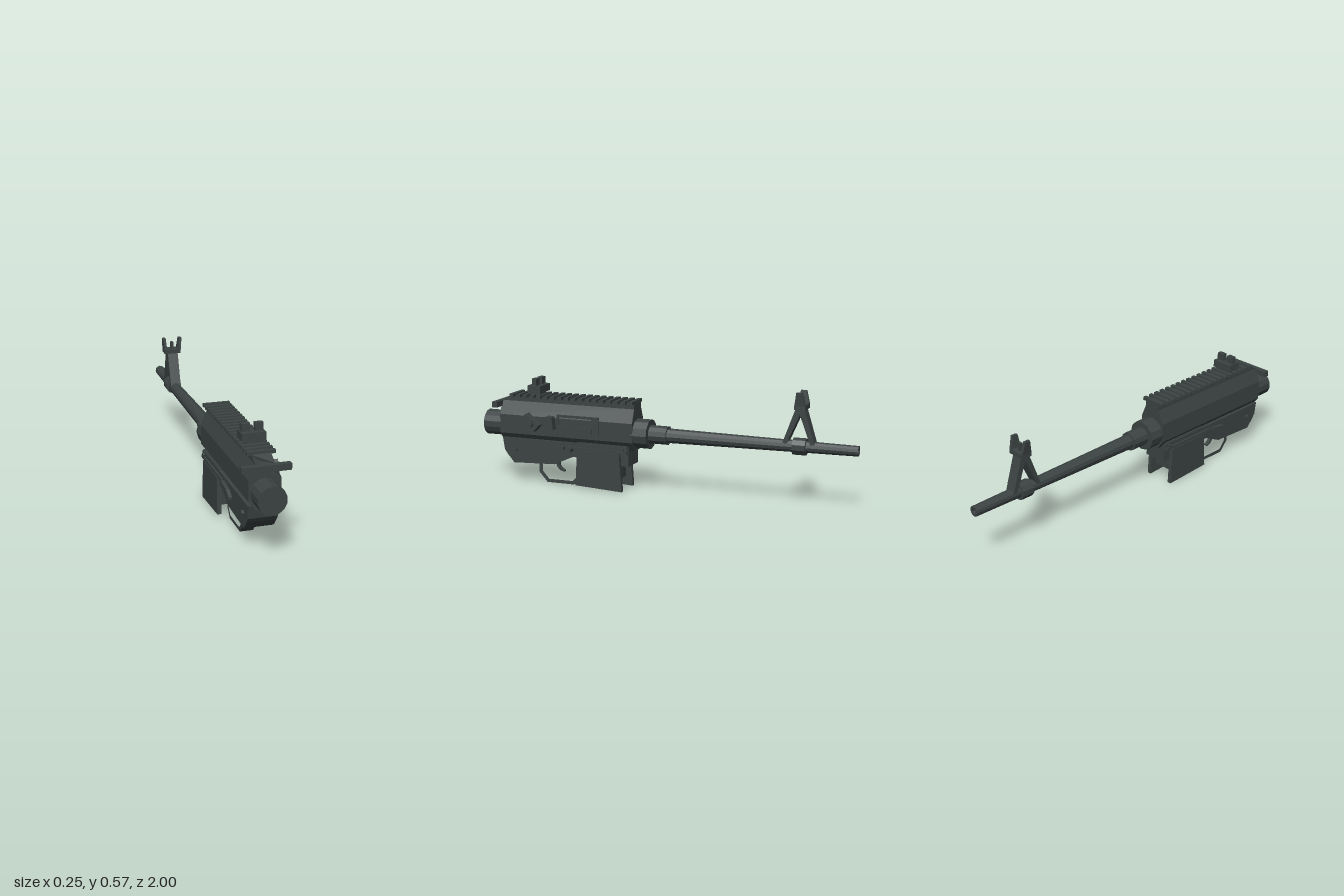
import * as THREE from 'three';

const gunmetal = new THREE.MeshStandardMaterial({ color: 0x3c4343, flatShading: true });
gunmetal.name = 'dark gunmetal';
const CX = -0.01; // centre line of the body
const CY = 0.299; // height of the barrel axis

export function createModel() {
  const root = new THREE.Group();
  root.name = 'rifleReceiver';

  function add(name, geometry) {
    const mesh = new THREE.Mesh(geometry, gunmetal);
    mesh.name = name;
    root.add(mesh);
    return mesh;
  }
  // box from its lower and upper limits
  function box(name, x0, x1, y0, y1, z0, z1) {
    const g = new THREE.BoxGeometry(x1 - x0, y1 - y0, z1 - z0);
    return add(name, g.translate((x0 + x1) / 2, (y0 + y1) / 2, (z0 + z1) / 2));
  }
  const toShape = (pts) => new THREE.Shape(pts.map(([a, b]) => new THREE.Vector2(a, b)));
  // side outline of [z, y] points, given a thickness from x0 to x1
  function side(name, pts, x0, x1, hole) {
    const shape = toShape(pts);
    if (hole) shape.holes.push(new THREE.Path(hole.map(([a, b]) => new THREE.Vector2(a, b))));
    const g = new THREE.ExtrudeGeometry(shape, { depth: x1 - x0, bevelEnabled: false });
    return add(name, g.rotateY(-Math.PI / 2).translate(x1, 0, 0));
  }
  // cylinder along z
  function tube(name, rBack, rFront, zBack, zFront, sides) {
    const g = new THREE.CylinderGeometry(rBack, rFront, zBack - zFront, sides);
    return add(name, g.rotateX(Math.PI / 2).translate(CX, CY, (zBack + zFront) / 2));
  }
  // cylinder along x
  function pin(name, r, x0, x1, y, z, sides = 8) {
    const g = new THREE.CylinderGeometry(r, r, x1 - x0, sides);
    return add(name, g.rotateZ(Math.PI / 2).translate((x0 + x1) / 2, y, z));
  }

  // upper receiver: faceted cross-section along z
  const half = [[0.041, 0.213], [0.075, 0.26], [0.075, 0.36], [0.045, 0.43], [0.045, 0.457]];
  const section = [
    ...half.map(([x, y]) => [CX + x, y]),
    ...half.slice().reverse().map(([x, y]) => [CX - x, y]),
  ];
  const upper = new THREE.ExtrudeGeometry(toShape(section), { depth: 0.755, bevelEnabled: false });
  upper.translate(0, 0, 0.14);
  const p = upper.attributes.position;
  for (let i = 0; i < p.count; i++) { // sloped top rear edge
    if (p.getZ(i) > 0.8 && p.getY(i) > 0.44) p.setZ(i, 0.84);
  }
  upper.computeVertexNormals();
  add('upperReceiver', upper);
  tube('rearTube', 0.068, 0.068, 1.0, 0.85, 14);
  box('chargingHandle', -0.125, 0.105, 0.4, 0.43, 0.89, 0.918);
  box('chargingHandleStem', -0.035, 0.015, 0.4, 0.43, 0.84, 0.89);

  // top rail
  box('railBase', -0.047, 0.027, 0.45, 0.462, 0.14, 0.84);
  for (let i = 0; i < 18; i++) {
    const z = 0.142 + i * 0.0398;
    box('railTooth', -0.076, 0.057, 0.453, 0.47, z, z + 0.02);
  }

  // barrel with a hollow muzzle
  tube('barrelNut', 0.077, 0.077, 0.15, 0.065, 12);
  tube('barrelCollar', 0.048, 0.048, 0.065, -0.03, 12);
  const barrelProfile = [[0.001, 0.93], [0.014, 0.93], [0.014, 1.0], [0.026, 1.0], [0.038, 0.03], [0.001, 0.03]];
  const barrel = new THREE.LatheGeometry(
    barrelProfile.map(([r, l]) => new THREE.Vector2(r, -l)).reverse(), 12);
  const barrelMesh = add('barrel', barrel.rotateX(Math.PI / 2).translate(CX, CY, 0));
  barrelMesh.material = gunmetal.clone();
  barrelMesh.material.side = THREE.DoubleSide;

  // front sight tower
  tube('frontSightRing', 0.043, 0.043, -0.68, -0.745, 10);
  side('frontSightFrame',
    [[-0.63, 0.315], [-0.652, 0.315], [-0.714, 0.46], [-0.768, 0.315], [-0.79, 0.315], [-0.735, 0.495], [-0.695, 0.495]],
    -0.038, 0.018);
  box('frontSightBase', -0.055, 0.035, 0.485, 0.508, -0.745, -0.69);
  box('frontSightPost', -0.018, -0.002, 0.505, 0.546, -0.726, -0.71);
  for (const s of [-1, 1]) {
    const a = CX + s * 0.031, b = CX + s * 0.046;
    const ear = side('frontSightEar',
      [[-0.69, 0.505], [-0.7, 0.57], [-0.728, 0.57], [-0.745, 0.505]], Math.min(a, b), Math.max(a, b));
    ear.geometry.translate(-CX - s * 0.038, -0.505, 0).rotateZ(-s * 0.1).translate(CX + s * 0.038, 0.505, 0);
  }

  // rear sight
  box('rearSightFoot', -0.047, 0.027, 0.462, 0.482, 0.675, 0.73);
  box('rearSightBase', -0.067, 0.047, 0.48, 0.518, 0.665, 0.738);
  for (const s of [-1, 1]) {
    const c = CX + s * 0.032;
    box('rearSightLeaf', c - 0.02, c + 0.02, 0.515, 0.555, 0.689, 0.714);
  }

  // lower receiver
  side('lowerReceiver',
    [[0.885, 0.235], [0.875, 0.17], [0.858, 0.145], [0.82, 0.102], [0.58, 0.112], [0.48, 0.16], [0.43, 0.16], [0.43, 0.235]],
    -0.08, 0.06);
  box('lowerFrontBody', -0.08, 0.06, 0.19, 0.24, 0.17, 0.45);
  box('frontLug', -0.072, 0.052, 0.132, 0.235, 0.165, 0.235);

  // magazine well: core and two deep side plates
  side('magazineWellCore', [[0.44, 0.2], [0.44, 0.055], [0.235, 0.05], [0.235, 0.2]], -0.075, 0.055);
  for (const s of [-1, 1]) {
    const a = CX + s * 0.063, b = CX + s * 0.084, lo = Math.min(a, b), hi = Math.max(a, b);
    side('magazineWellPlate', [[0.445, 0.2], [0.457, 0.014], [0.196, 0.001], [0.21, 0.2]], lo, hi);
    const c = CX + s * 0.06, d = CX + s * 0.08;
    box('magazineWellRim', Math.min(c, d), Math.max(c, d), 0.2, 0.214, 0.17, 0.5);
    // pins and seam ridge on both sides
    const e = CX + s * 0.06, f = CX + s * 0.082;
    pin('rearPin', 0.012, Math.min(e, f), Math.max(e, f), 0.175, 0.81);
    pin('frontPin', 0.01, Math.min(e, f), Math.max(e, f), 0.222, 0.195);
    box('seamRidge', Math.min(e, CX + s * 0.074), Math.max(e, CX + s * 0.074), 0.226, 0.236, 0.17, 0.87);
    // selector lever
    const g = CX + s * 0.088;
    side('selectorLever',
      [[0.645, 0.168], [0.645, 0.18], [0.6, 0.203], [0.52, 0.214], [0.52, 0.198], [0.58, 0.19]],
      Math.min(e, g), Math.max(e, g));
  }
  pin('releaseButton', 0.016, 0.06, 0.097, 0.205, 0.485);

  // trigger and guard
  side('triggerGuard',
    [[0.69, 0.11], [0.692, 0.055], [0.645, 0.002], [0.49, 0.002], [0.45, 0.045], [0.445, 0.165]],
    -0.042, 0.022,
    [[0.67, 0.106], [0.67, 0.06], [0.635, 0.02], [0.497, 0.02], [0.468, 0.052], [0.465, 0.155], [0.5, 0.148], [0.58, 0.112]]);
  side('trigger',
    [[0.605, 0.115], [0.598, 0.085], [0.58, 0.067], [0.557, 0.06], [0.555, 0.067], [0.575, 0.078], [0.585, 0.092], [0.585, 0.115]],
    -0.02, 0.0);

  // ejection port frame and cover on the left side
  side('ejectionPortFrame',
    [[0.56, 0.378], [0.56, 0.278], [0.325, 0.278], [0.325, 0.378]], 0.05, 0.07,
    [[0.55, 0.366], [0.365, 0.366], [0.365, 0.328], [0.55, 0.328]]);
  box('ejectionPortCover', 0.06, 0.076, 0.29, 0.318, 0.36, 0.56);

  // case deflector and forward assist
  side('caseDeflector', [[0.61, 0.37], [0.575, 0.368], [0.568, 0.302], [0.635, 0.306]], 0.05, 0.1);
  side('forwardAssist', [[0.725, 0.378], [0.645, 0.323], [0.68, 0.285], [0.757, 0.33]], 0.05, 0.108);
  pin('forwardAssistKnob', 0.024, 0.1, 0.124, 0.33, 0.7);

  return root;
}
